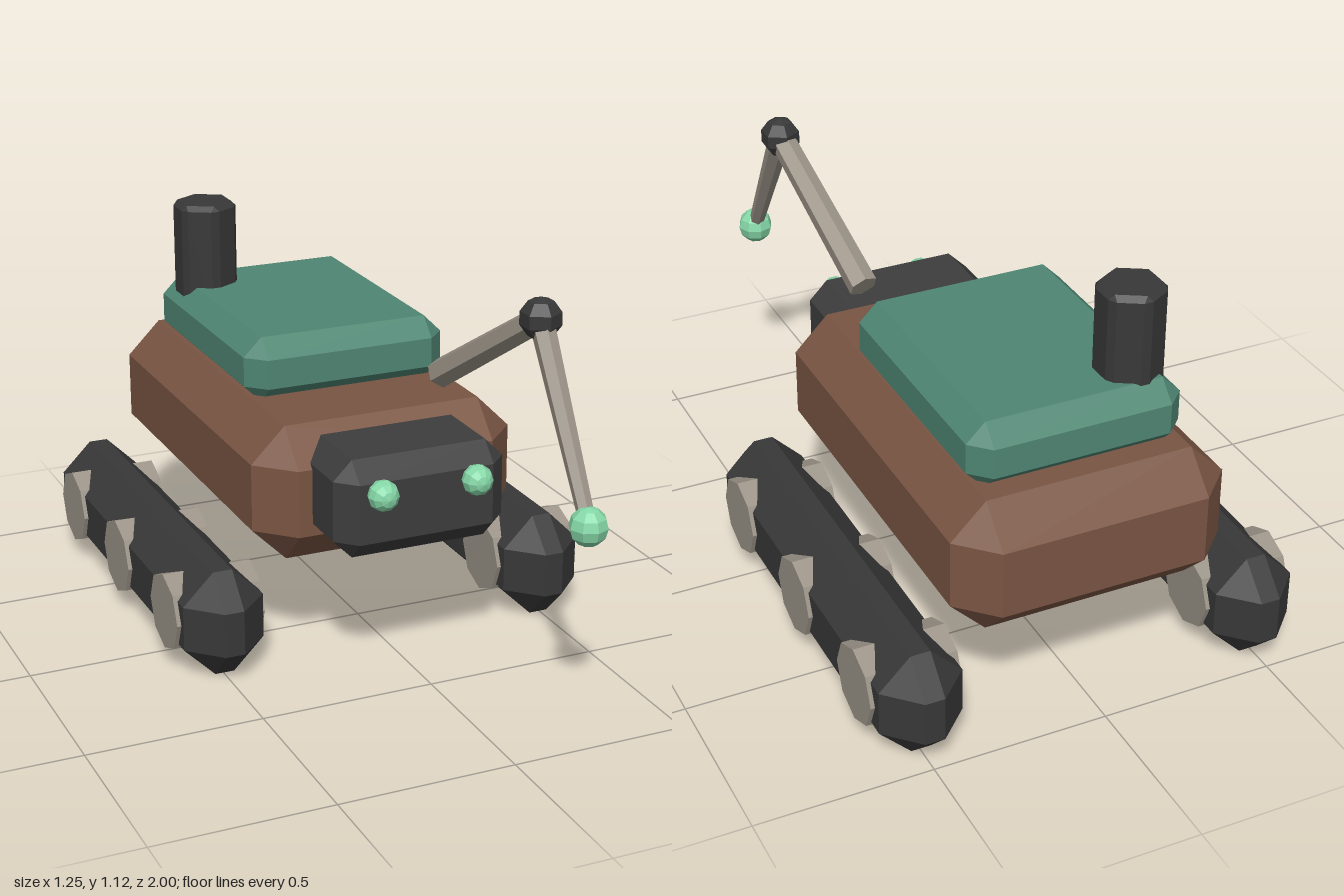
import * as THREE from 'three';
import { ConvexGeometry } from 'three/addons/geometries/ConvexGeometry.js';

const mat = (name, color) => {
  const m = new THREE.MeshStandardMaterial({ color, flatShading: true });
  m.name = name;
  return m;
};

// Box with a single 45 degree chamfer on every edge, given by its limits
function chamferBox([x0, x1], [y0, y1], [z0, z1], c) {
  const half = [(x1 - x0) / 2, (y1 - y0) / 2, (z1 - z0) / 2];
  const points = [];
  for (const sx of [-1, 1]) for (const sy of [-1, 1]) for (const sz of [-1, 1]) {
    for (let axis = 0; axis < 3; axis++) {
      const p = half.map((h, i) => (i === axis ? h : h - c));
      points.push(new THREE.Vector3(p[0] * sx, p[1] * sy, p[2] * sz));
    }
  }
  return new ConvexGeometry(points).translate((x0 + x1) / 2, (y0 + y1) / 2, (z0 + z1) / 2);
}

// Upright hexagonal prism with small bevels on all edges
function bevelledHexPrism(r, height, b) {
  const points = [];
  const corner = (i, rad) => new THREE.Vector3(Math.sin(i * Math.PI / 3) * rad, 0, Math.cos(i * Math.PI / 3) * rad);
  for (let i = 0; i < 6; i++) {
    const a = corner(i, r), d = corner(i + 1, r);
    for (const s of [-1, 1]) {
      for (const t of [b / r, 1 - b / r]) points.push(a.clone().lerp(d, t).setY(s * (height / 2 - b)));
      points.push(corner(i, r - b / Math.cos(Math.PI / 6)).setY(s * height / 2));
    }
  }
  return new ConvexGeometry(points);
}

export function createModel() {
  const model = new THREE.Group();
  model.name = 'trackedRover';

  const brown = mat('brown hull', 0x7a5543);
  const teal = mat('teal deck', 0x4f8673);
  const dark = mat('dark rubber', 0x383838);
  const charcoal = mat('charcoal head', 0x3d3d3d);
  const tan = mat('warm grey metal', 0x9c9488);
  const mint = mat('mint lamp', 0x86d8a8);

  const add = (name, geometry, material, position = [0, 0, 0], parent = model) => {
    const mesh = new THREE.Mesh(geometry, material);
    mesh.name = name;
    mesh.position.set(...position);
    parent.add(mesh);
    return mesh;
  };

  // Hull, deck and head
  add('hull', chamferBox([-0.395, 0.395], [0.3, 0.695], [-0.97, 0.27], 0.1), brown);
  add('deck', chamferBox([-0.308, 0.308], [0.67, 0.864], [-0.83, -0.045], 0.054), teal);
  add('head', chamferBox([-0.255, 0.253], [0.382, 0.665], [0.12, 0.465], 0.055), charcoal);

  // Exhaust stack
  add('exhaustStack', bevelledHexPrism(0.1, 0.38, 0.015), dark, [-0.199, 0.924, -0.69]);

  // Tracks with three wheels passing through each
  for (const side of [-1, 1]) {
    const group = new THREE.Group();
    group.name = side > 0 ? 'leftTrack' : 'rightTrack';
    group.position.x = side * 0.496;
    model.add(group);
    add('track', chamferBox([-0.118, 0.118], [0, 0.31], [-1, 0.29], 0.09), dark, [0, 0, 0], group);
    for (const z of [0.07, -0.352, -0.774]) {
      const wheel = new THREE.CylinderGeometry(0.1125, 0.1125, 0.26, 8).rotateZ(Math.PI / 2);
      add('wheel', wheel, tan, [0, 0.157, z], group);
    }
  }

  // Eyes
  for (const side of [-1, 1]) {
    const eye = new THREE.SphereGeometry(0.044, 10, 6).rotateX(Math.PI / 2);
    add(side > 0 ? 'leftEye' : 'rightEye', eye, mint, [side * 0.14, 0.58, 0.483]);
  }

  // Jointed arm
  const arm = new THREE.Group();
  arm.name = 'arm';
  model.add(arm);
  const root = new THREE.Vector3(0.19, 0.773, 0.147);
  const elbow = new THREE.Vector3(0.252, 1.06, 0.607);
  const tip = new THREE.Vector3(0.223, 0.606, 0.943);
  const rod = (name, from, to, rFrom, rTo) => {
    const dir = to.clone().sub(from);
    const mid = from.clone().add(to).multiplyScalar(0.5);
    const mesh = add(name, new THREE.CylinderGeometry(rTo, rFrom, dir.length(), 6), tan, mid.toArray(), arm);
    mesh.quaternion.setFromUnitVectors(new THREE.Vector3(0, 1, 0), dir.normalize());
  };
  rod('upperArm', root, elbow, 0.043, 0.037);
  rod('forearm', elbow, tip, 0.034, 0.022);
  add('elbowJoint', new THREE.SphereGeometry(0.059, 6, 5).rotateY(Math.PI / 6), dark, elbow.toArray(), arm);
  add('armTip', new THREE.SphereGeometry(0.053, 8, 6), mint, tip.toArray(), arm);

  return model;
}
